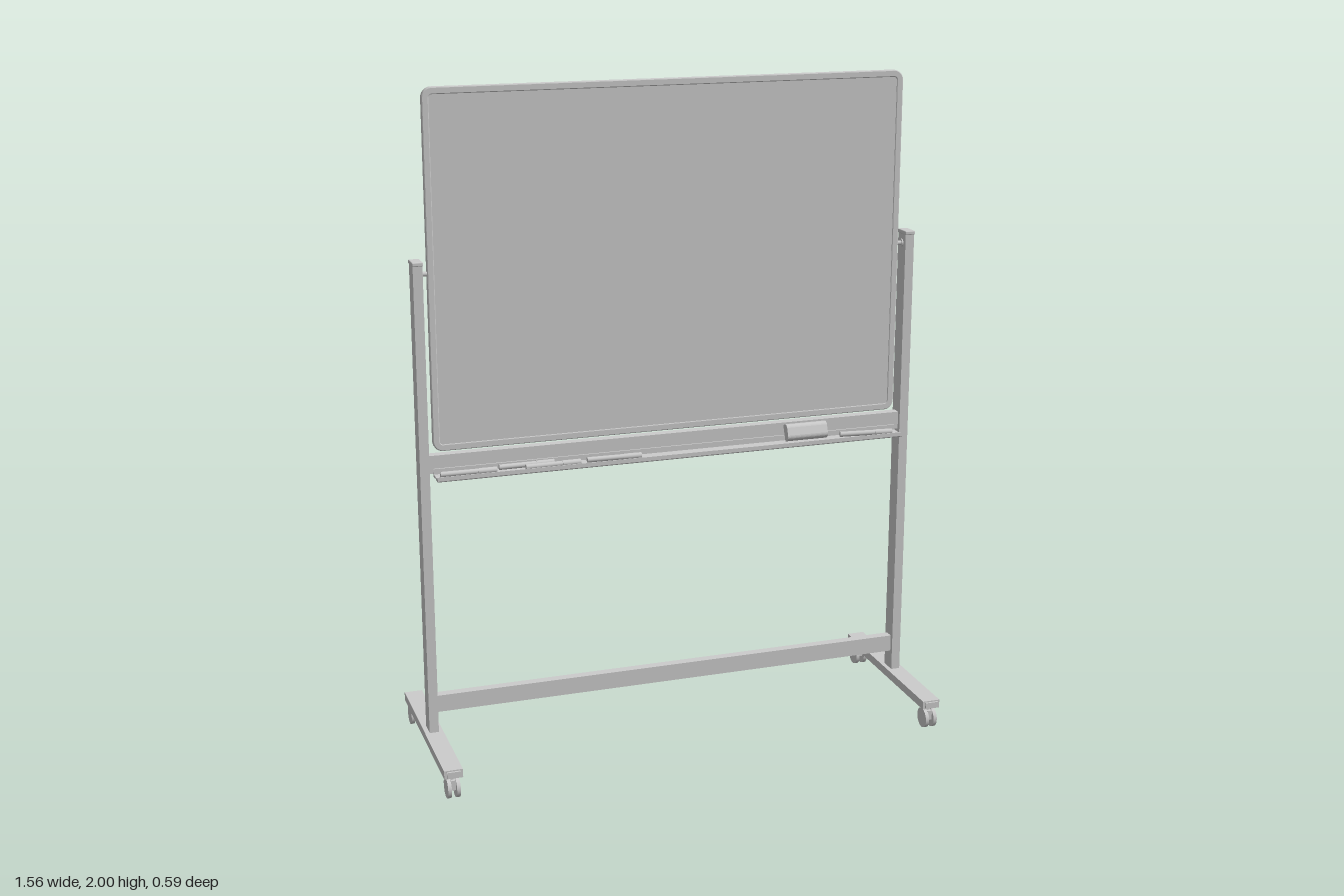
import * as THREE from 'three';
import { RoundedBoxGeometry } from 'three/addons/geometries/RoundedBoxGeometry.js';

const mat = new THREE.MeshStandardMaterial({ color: 0xcccccc });

function add(parent, name, geometry, x = 0, y = 0, z = 0) {
  const mesh = new THREE.Mesh(geometry, mat);
  mesh.name = name;
  mesh.position.set(x, y, z);
  parent.add(mesh);
  return mesh;
}

const box = (w, h, d) => new THREE.BoxGeometry(w, h, d);
const rod = (r, length, sides = 24) => new THREE.CylinderGeometry(r, r, length, sides).rotateZ(Math.PI / 2);

// Rounded rectangle outline centred on the origin
function roundedRect(w, h, r, Type = THREE.Shape) {
  const p = new Type(), x = w / 2, y = h / 2;
  p.moveTo(-x + r, -y);
  p.lineTo(x - r, -y);
  p.absarc(x - r, -y + r, r, -Math.PI / 2, 0);
  p.absarc(x - r, y - r, r, 0, Math.PI / 2);
  p.absarc(-x + r, y - r, r, Math.PI / 2, Math.PI);
  p.absarc(-x + r, -y + r, r, Math.PI, Math.PI * 1.5);
  return p;
}

// Extrude a (z, y) profile along x, centred
function alongX(shape, length) {
  return new THREE.ExtrudeGeometry(shape, { depth: length, bevelEnabled: false, curveSegments: 8 })
    .translate(0, 0, -length / 2).rotateY(-Math.PI / 2);
}

const profile = (pts) => new THREE.Shape(pts.map(([z, y]) => new THREE.Vector2(z, y)));

function makeBoard() {
  const board = new THREE.Group();
  board.name = 'board';
  const rim = roundedRect(1.438, 1.034, 0.027);
  rim.holes.push(roundedRect(1.408, 1.004, 0.012, THREE.Path));
  const frame = new THREE.ExtrudeGeometry(rim, {
    depth: 0.01, bevelThickness: 0.004, bevelSize: 0.003, bevelSegments: 2, curveSegments: 8,
  }).translate(0, 0, -0.005);
  add(board, 'boardFrame', frame);
  add(board, 'writingPanel', box(1.412, 1.008, 0.014));
  board.position.y = 1.48;
  return board;
}

function makeCaster(z) {
  const caster = new THREE.Group();
  caster.name = 'caster';
  add(caster, 'casterStem', new THREE.CylinderGeometry(0.008, 0.008, 0.03, 16), 0, 0.058);
  add(caster, 'casterHousing', box(0.014, 0.03, 0.036), 0, 0.043);
  add(caster, 'casterAxle', rod(0.006, 0.034, 12), 0, 0.032);
  for (const s of [-1, 1]) {
    add(caster, 'casterWheel', rod(0.031, 0.011), s * 0.013, 0.031);
  }
  caster.position.z = z;
  return caster;
}

// Post, foot, pivot and casters for one side
function makeSide(s) {
  const side = new THREE.Group();
  side.name = s > 0 ? 'leftStand' : 'rightStand';
  add(side, 'post', box(0.028, 1.42, 0.052), 0, 0.8);
  add(side, 'postCap', new RoundedBoxGeometry(0.032, 0.012, 0.056, 2, 0.003), 0, 1.513);
  add(side, 'foot', box(0.055, 0.026, 0.58), 0, 0.082);
  for (const e of [-1, 1]) {
    add(side, 'footEndCap', box(0.04, 0.018, 0.008), 0, 0.082, e * 0.292);
    side.add(makeCaster(e * 0.265));
  }
  add(side, 'pivotPin', rod(0.007, 0.04, 16), -s * 0.025, 1.48);
  add(side, 'pivotWasher', rod(0.012, 0.004), -s * 0.016, 1.48);
  side.position.x = s * 0.752;
  return side;
}

function makeTray() {
  const tray = new THREE.Group();
  tray.name = 'tray';
  // Channel with a back flange, a low front lip and a ribbed underside
  const section = profile([
    [0.014, 0.888], [0.03, 0.888], [0.03, 0.891], [0.048, 0.891], [0.048, 0.888],
    [0.072, 0.888], [0.074, 0.891], [0.074, 0.903], [0.071, 0.903], [0.07, 0.896],
    [0.019, 0.896], [0.019, 0.912], [0.014, 0.912],
  ]);
  add(tray, 'penTray', alongX(section, 1.45));

  // Markers: x, z, turn about y
  const markers = [
    [-0.628, 0.055, -0.02], [-0.452, 0.037, 0.01], [-0.378, 0.06, 0.01],
    [-0.19, 0.052, -0.03], [0.616, 0.052, -0.12],
  ];
  for (const [x, z, turn] of markers) {
    const marker = new THREE.Group();
    marker.name = 'marker';
    add(marker, 'markerBarrel', rod(0.008, 0.11, 16), -0.03);
    add(marker, 'markerCap', rod(0.009, 0.055, 16), 0.0525);
    marker.position.set(x, 0.905, z);
    marker.rotation.y = turn;
    tray.add(marker);
  }

  // Eraser leaning back against the rail
  const eraser = new THREE.Group();
  eraser.name = 'eraser';
  add(eraser, 'eraserFelt', box(0.126, 0.05, 0.014), 0, 0, -0.007);
  const grip = new THREE.Shape();
  grip.moveTo(0, -0.026);
  grip.quadraticCurveTo(0.018, -0.026, 0.02, -0.012);
  grip.lineTo(0.02, 0.012);
  grip.quadraticCurveTo(0.018, 0.026, 0, 0.026);
  add(eraser, 'eraserGrip', alongX(grip, 0.13));
  eraser.position.set(0.415, 0.928, 0.046);
  eraser.rotation.x = -0.4;
  tray.add(eraser);
  return tray;
}

export function createModel() {
  const model = new THREE.Group();
  model.name = 'mobileWhiteboard';
  model.add(makeBoard(), makeSide(1), makeSide(-1), makeTray());
  // Rails joining the two posts
  add(model, 'upperRail', box(1.478, 0.054, 0.028), 0, 0.924);
  add(model, 'lowerRail', box(1.478, 0.052, 0.028), 0, 0.18);
  return model;
}
